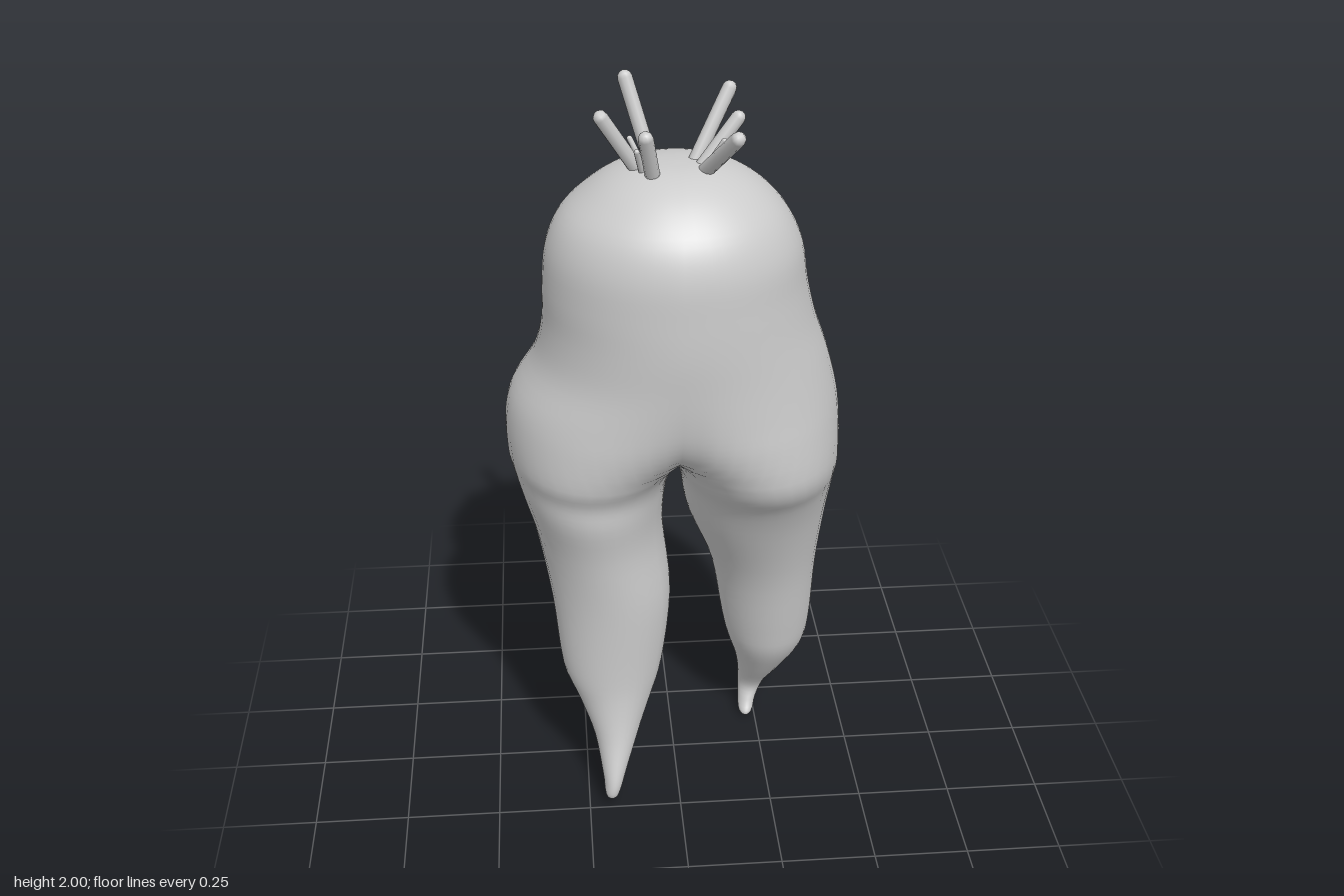
import * as THREE from 'three';
import { mergeVertices } from 'three/addons/utils/BufferGeometryUtils.js';

const OUT = 28, IN = 14;      // points on the outer and inner part of a section
const CROTCH = 11;            // key row where the trunk splits into two legs
const STEPS = 4;              // rows between keys
const SPLIT = -0.09;          // inner reach of a half at the split, as a share of its outer reach
const material = new THREE.MeshStandardMaterial({ color: 0xcccccc, side: THREE.DoubleSide });

// Trunk keys shared by both halves: y, back z, front z, inner reach (share), width to +x, width to -x
const trunk = [
  [1.805, 0.06, 0.06, -1, 0, 0], [1.80, -0.01, 0.13, -1, 0.08, 0.08], [1.78, -0.09, 0.19, -1, 0.15, 0.15],
  [1.74, -0.15, 0.25, -1, 0.215, 0.215], [1.68, -0.195, 0.302, -1, 0.27, 0.28],
  [1.6, -0.225, 0.328, -1, 0.308, 0.315], [1.5, -0.245, 0.333, -1, 0.325, 0.326],
  [1.4, -0.265, 0.333, -1, 0.35, 0.33], [1.3, -0.288, 0.325, -0.88, 0.385, 0.355],
  [1.2, -0.312, 0.316, -0.64, 0.413, 0.413], [1.12, -0.328, 0.308, -0.38, 0.426, 0.432],
  [1.03, -0.332, 0.292, SPLIT, 0.432, 0.432], [0.97, -0.325, 0.268, 0, 0.432, 0.422],
];
// Leg keys: y, back z, front z, inner x, outer x (as distances from the middle)
const legLeft = [
  [0.9, -0.318, 0.213, 0.02, 0.428], [0.78, -0.297, 0.15, 0.042, 0.417],
  [0.6, -0.255, 0.075, 0.11, 0.402], [0.4, -0.237, 0.025, 0.145, 0.395], [0.3, -0.242, -0.003, 0.168, 0.38],
  [0.2, -0.253, -0.065, 0.195, 0.335], [0.1, -0.243, -0.135, 0.207, 0.285], [0.05, -0.2, -0.128, 0.205, 0.257],
  [0.015, -0.165, -0.108, 0.205, 0.243], [0, -0.13, -0.13, 0.222, 0.222],
];
const legRight = [
  [0.9, -0.298, 0.262, 0.022, 0.402], [0.78, -0.225, 0.236, 0.03, 0.367],
  [0.6, -0.09, 0.218, 0.015, 0.332], [0.4, -0.025, 0.208, 0.04, 0.31], [0.3, 0.005, 0.212, 0.07, 0.272],
  [0.2, 0.08, 0.23, 0.11, 0.232], [0.1, 0.17, 0.262, 0.15, 0.212], [0.06, 0.21, 0.268, 0.165, 0.208],
  [0.04, 0.232, 0.262, 0.175, 0.203], [0.033, 0.25, 0.25, 0.19, 0.19],
];

// One section: an ellipse cut off by the middle plane, which closes as it moves outwards
function section([y, zb, zf, k, xo], s) {
  const zc = (zb + zf) / 2, zd = (zf - zb) / 2;
  const xc = xo * (1 + k) / 2, xd = xo * (1 - k) / 2;
  const kc = Math.min(k, SPLIT);
  const cut = Math.asin((1 + kc) / (1 - kc));   // angle at which the outer arc meets the middle
  const points = [];
  for (let j = 0; j < OUT + IN; j++) {
    const a = j <= OUT
      ? -cut + (Math.PI + 2 * cut) * j / OUT
      : Math.PI + cut + (Math.PI - 2 * cut) * (j - OUT) / IN;
    points.push([s * Math.max(0, xc + xd * Math.sin(a)), y, zc + zd * Math.cos(a)]);
  }
  return points;
}

// Half of the root, from the crown to the tip of one leg
function addHalf(positions, indices, leg, s) {
  const keys = [
    ...trunk.map(([y, zb, zf, k, xl, xr]) => [y, zb, zf, k, s > 0 ? xl : xr]),
    ...leg.map(([y, zb, zf, xi, xo]) => [y, zb, zf, xi / xo, xo]),
  ];
  const spline = new THREE.CubicInterpolant(keys.map((_, i) => i), keys.flat(), 5);
  const rows = (keys.length - 1) * STEPS, n = OUT + IN, start = positions.length / 3;
  for (let r = 0; r <= rows; r++) {
    const row = r % STEPS ? Array.from(spline.evaluate(r / STEPS)) : keys[r / STEPS];
    for (const p of section(row, s)) positions.push(...p);
  }
  for (let r = 0; r < rows; r++) {
    const count = r < CROTCH * STEPS ? OUT : n;   // the inner wall exists only below the split
    for (let j = 0; j < count; j++) {
      const a = start + r * n + j, b = start + r * n + (j + 1) % n, c = a + n, d = b + n;
      if (s > 0) indices.push(a, c, b, b, c, d);
      else indices.push(a, b, c, b, d, c);
    }
  }
}

function createRoot() {
  const positions = [], indices = [];
  addHalf(positions, indices, legLeft, 1);
  addHalf(positions, indices, legRight, -1);
  let geometry = new THREE.BufferGeometry();
  geometry.setAttribute('position', new THREE.Float32BufferAttribute(positions, 3));
  geometry.setIndex(indices);
  geometry = mergeVertices(geometry, 1e-4);
  geometry.computeVertexNormals();
  const root = new THREE.Mesh(geometry, material);
  root.name = 'forkedRoot';
  return root;
}

// A round-ended stalk from a to b
function createStalk(a, b, radius, name) {
  const from = new THREE.Vector3(...a), to = new THREE.Vector3(...b);
  const dir = to.clone().sub(from), length = dir.length();
  const stalk = new THREE.Mesh(new THREE.CapsuleGeometry(radius, length - 2 * radius, 3, 10), material);
  stalk.position.copy(from).add(to).multiplyScalar(0.5);
  stalk.quaternion.setFromUnitVectors(new THREE.Vector3(0, 1, 0), dir.normalize());
  stalk.name = name;
  return stalk;
}

export function createModel() {
  const model = new THREE.Group();
  model.name = 'forkedCarrot';
  model.add(createRoot());

  // Cut leaf stalks on the crown: base x, base z, tip x, tip y, tip z
  const stalks = new THREE.Group();
  stalks.name = 'leafStalks';
  const thick = [
    [-0.05, 0.035, -0.118, 2.0, -0.018], [-0.08, 0.07, -0.185, 1.945, 0.12], [-0.055, 0.12, -0.08, 1.915, 0.185],
    [0.035, 0.05, 0.14, 1.97, -0.01], [0.045, 0.075, 0.158, 1.915, 0.05], [0.055, 0.08, 0.132, 1.925, 0.252],
  ];
  const thin = [
    [-0.07, 0.055, -0.11, 1.86, 0.04], [-0.08, 0.1, -0.097, 1.86, 0.14], [0.06, 0.085, 0.113, 1.87, 0.107],
  ];
  for (const [x, z, tx, ty, tz] of thick) stalks.add(createStalk([x, 1.77, z], [tx, ty, tz], 0.018, 'stalk'));
  for (const [x, z, tx, ty, tz] of thin) stalks.add(createStalk([x, 1.78, z], [tx, ty, tz], 0.007, 'thinStalk'));
  model.add(stalks);
  return model;
}
